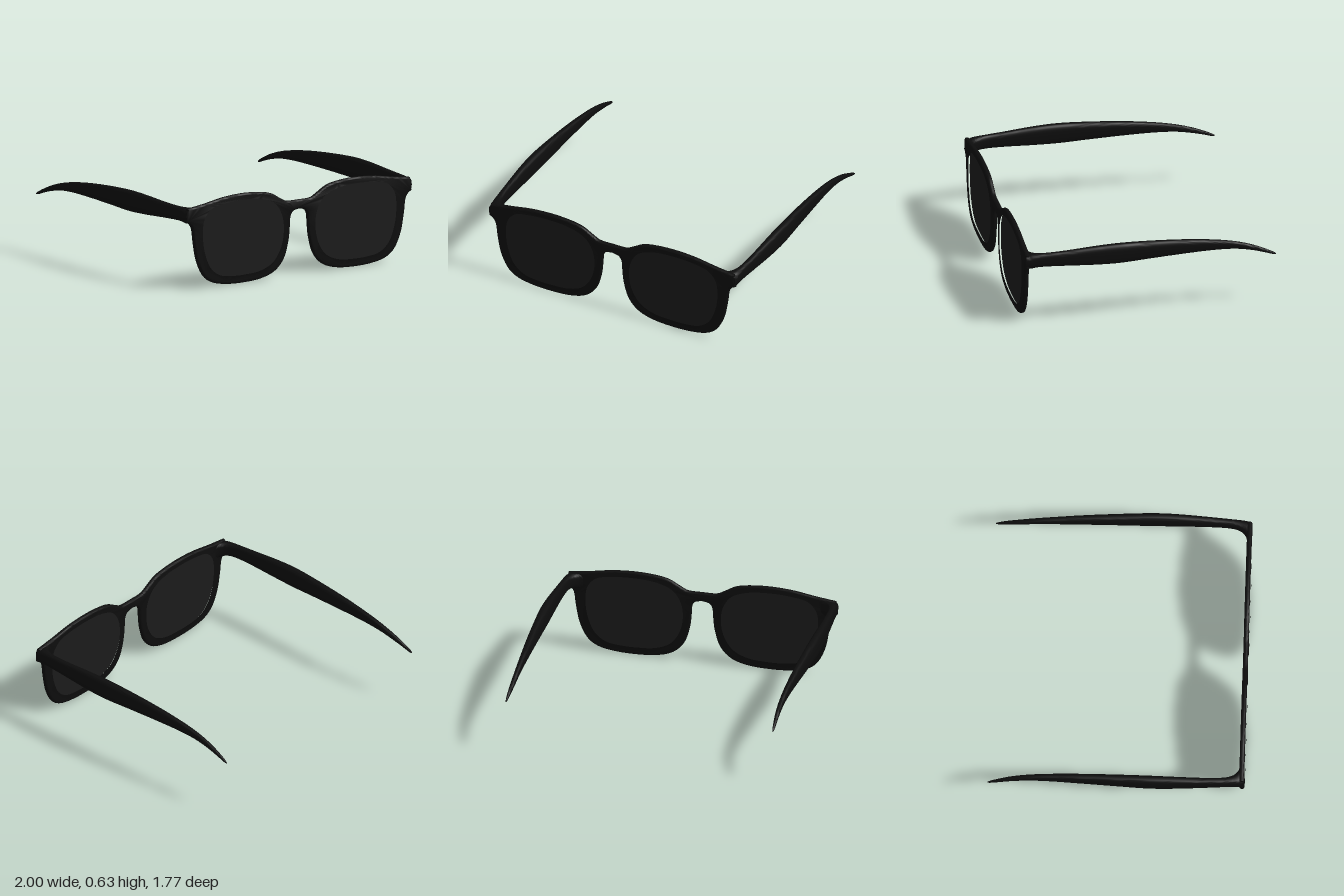
import * as THREE from 'three';
import { toCreasedNormals } from 'three/addons/utils/BufferGeometryUtils.js';

const frameMat = new THREE.MeshStandardMaterial({ color: 0x0d0d0d });
const lensMat = new THREE.MeshStandardMaterial({ color: 0x1b1b1b });

const vectors = (pts) => pts.map(([x, y]) => new THREE.Vector2(x, y));
const smooth = (pts, n) => new THREE.SplineCurve(vectors(pts)).getPoints(n);
const mirror = (pts) => pts.map((p) => new THREE.Vector2(-p.x, p.y)).reverse();

// Half outline of the front: brow line, then hinge corner round the rim to the bridge
const brow = smooth([[0, 0.53], [0.1, 0.532], [0.16, 0.56], [0.24, 0.603], [0.34, 0.623],
  [0.48, 0.631], [0.64, 0.622], [0.8, 0.596], [0.955, 0.575]], 64);
const rim = smooth([[0.967, 0.48], [0.94, 0.466], [0.915, 0.425], [0.902, 0.33], [0.875, 0.2], [0.82, 0.09],
  [0.74, 0.033], [0.62, 0.008], [0.48, 0.002], [0.33, 0.012], [0.21, 0.05], [0.13, 0.13], [0.09, 0.25],
  [0.077, 0.36], [0.072, 0.42], [0.05, 0.454], [0, 0.466]], 110);

// Lens opening
const opening = new THREE.CatmullRomCurve3([[0.48, 0.602], [0.64, 0.594], [0.765, 0.565], [0.83, 0.49],
  [0.845, 0.38], [0.828, 0.25], [0.775, 0.13], [0.69, 0.066], [0.58, 0.047], [0.46, 0.045], [0.33, 0.057],
  [0.22, 0.105], [0.15, 0.2], [0.122, 0.32], [0.136, 0.44], [0.2, 0.537], [0.32, 0.587]]
  .map(([x, y]) => new THREE.Vector3(x, y, 0)), true).getPoints(96).slice(0, -1)
  .map((p) => new THREE.Vector2(p.x, p.y));

function frontFrame() {
  const half = [...brow, ...rim];
  const shape = new THREE.Shape([...half, ...mirror(half).slice(1, -1)]);
  shape.holes = [new THREE.Path(opening), new THREE.Path(mirror(opening))];
  const geo = new THREE.ExtrudeGeometry(shape, {
    depth: 0.007, bevelSize: 0.014, bevelThickness: 0.014, bevelOffset: -0.014, bevelSegments: 5,
  });
  geo.translate(0, 0, 0.869);
  return new THREE.Mesh(toCreasedNormals(geo, 0.7), frameMat);
}

function lens(side) {
  const c = new THREE.Vector2(0.48, 0.325);
  const pts = opening.map((p) => p.clone().sub(c).multiplyScalar(1.012).add(c));
  const shape = new THREE.Shape(side > 0 ? pts : mirror(pts));
  const geo = new THREE.ExtrudeGeometry(shape, { depth: 0.006, bevelEnabled: false });
  geo.translate(0, 0, 0.8695);
  return new THREE.Mesh(toCreasedNormals(geo, 0.7), lensMat);
}

// Temple arm stations: z, bottom, top, inner x, outer x
const stations = [
  [0.885, 0.475, 0.573, 0.86, 0.967], [0.86, 0.465, 0.575, 0.84, 0.971], [0.845, 0.467, 0.576, 0.873, 0.972],
  [0.81, 0.477, 0.577, 0.906, 0.974], [0.74, 0.48, 0.579, 0.926, 0.978], [0.6, 0.475, 0.586, 0.933, 0.987],
  [0.4, 0.464, 0.6, 0.934, 0.997], [0.22, 0.46, 0.605, 0.932, 1.0], [0, 0.468, 0.596, 0.929, 0.991],
  [-0.25, 0.475, 0.576, 0.926, 0.979], [-0.45, 0.476, 0.55, 0.925, 0.968], [-0.6, 0.467, 0.52, 0.926, 0.962],
  [-0.72, 0.444, 0.483, 0.93, 0.96], [-0.81, 0.418, 0.445, 0.938, 0.96], [-0.865, 0.399, 0.418, 0.945, 0.958],
  [-0.885, 0.397, 0.405, 0.95, 0.955],
];

// Loft of rounded-rectangle rings along the stations
function temple(side) {
  const spline = (f) => new THREE.CatmullRomCurve3(stations.map(f), false, 'catmullrom', 0.5);
  const centre = spline(([z, b, t, i, o]) => new THREE.Vector3((i + o) / 2, (b + t) / 2, z));
  const size = spline(([z, b, t, i, o]) => new THREE.Vector3((o - i) / 2, (t - b) / 2, 0));
  const rings = 75, around = 28, pos = [], idx = [];
  const round = (v) => Math.sign(v) * Math.abs(v) ** 0.7;
  const tri = (a, b, c) => idx.push(...(side > 0 ? [a, b, c] : [a, c, b]));
  for (let r = 0; r <= rings; r++) {
    const c = centre.getPoint(r / rings), s = size.getPoint(r / rings);
    for (let k = 0; k < around; k++) {
      const a = (k / around) * Math.PI * 2;
      pos.push(side * (c.x + s.x * round(Math.cos(a))), c.y + s.y * round(Math.sin(a)), c.z);
    }
  }
  for (let r = 0; r < rings; r++) {
    for (let k = 0; k < around; k++) {
      const a = r * around + k, b = r * around + (k + 1) % around;
      tri(a, a + around, b);
      tri(b, a + around, b + around);
    }
  }
  // End caps
  const last = rings * around;
  for (let k = 1; k < around - 1; k++) {
    tri(0, k, k + 1);
    tri(last, last + k + 1, last + k);
  }
  const geo = new THREE.BufferGeometry();
  geo.setAttribute('position', new THREE.Float32BufferAttribute(pos, 3));
  geo.setIndex(idx);
  return new THREE.Mesh(toCreasedNormals(geo, 0.9), frameMat);
}

export function createModel() {
  const model = new THREE.Group();
  model.name = 'sunglasses';
  const add = (name, mesh) => {
    mesh.name = name;
    model.add(mesh);
  };
  add('frontFrame', frontFrame());
  for (const [name, side] of [['left', 1], ['right', -1]]) {
    add(name + 'Lens', lens(side));
    add(name + 'Temple', temple(side));
  }
  return model;
}
